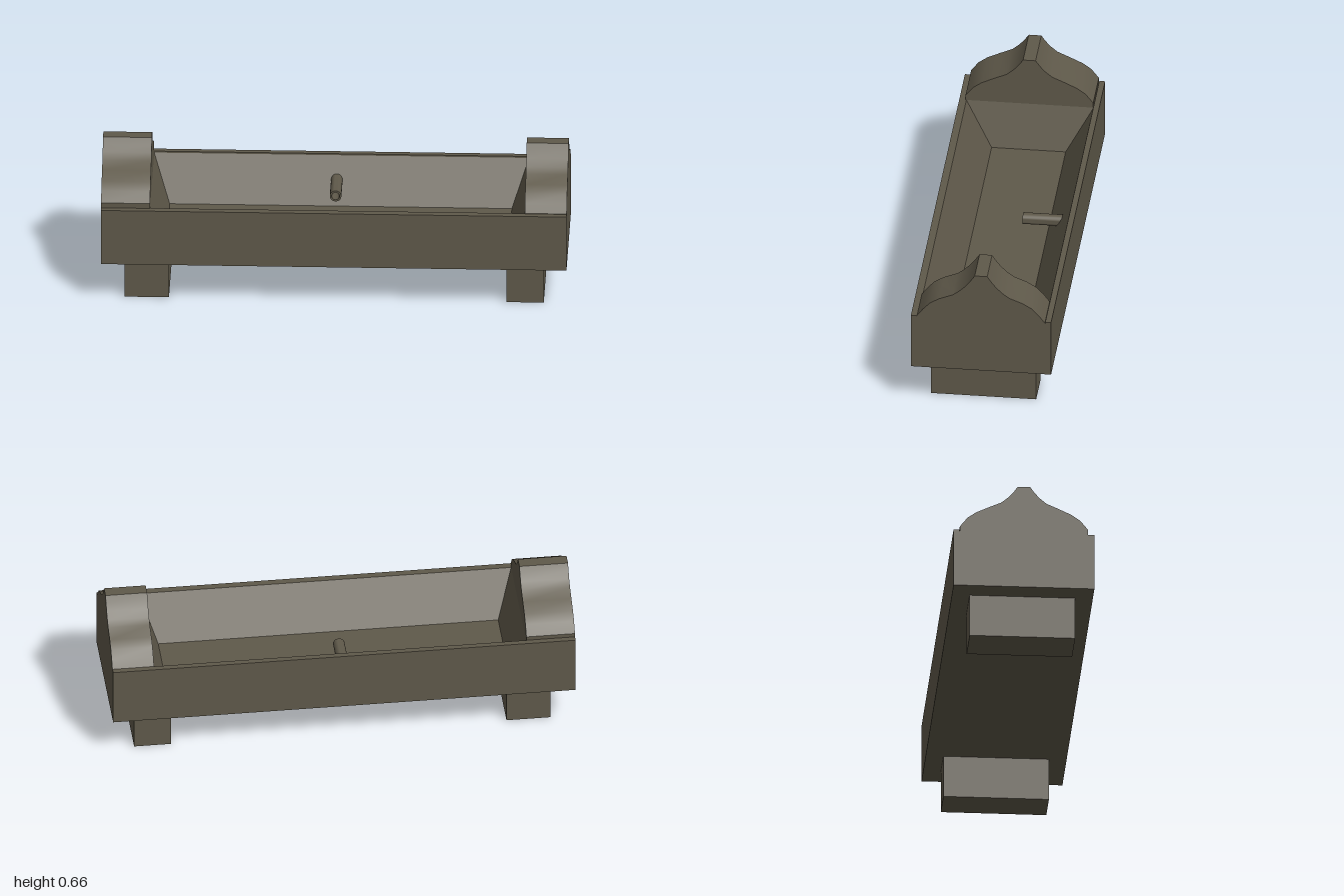
import * as THREE from 'three';
import { toCreasedNormals } from 'three/addons/utils/BufferGeometryUtils.js';

export function createModel() {
  const model = new THREE.Group();
  const stone = new THREE.MeshStandardMaterial({ color: 0x5f594a });
  stone.name = 'olive stone';

  function add(name, geometry) {
    const mesh = new THREE.Mesh(geometry, stone);
    mesh.name = name;
    model.add(mesh);
    return mesh;
  }

  // Box given by its limits
  function block(name, x0, x1, y0, y1, z0, z1) {
    add(name, new THREE.BoxGeometry(x1 - x0, y1 - y0, z1 - z0))
      .position.set((x0 + x1) / 2, (y0 + y1) / 2, (z0 + z1) / 2);
  }

  // Trough: rectangular rings joined from the underside, over the rim, to the basin floor
  const ring = (x0, x1, z0, z1, y) => [[x0, y, z1], [x1, y, z1], [x1, y, z0], [x0, y, z0]];
  const rings = [
    ring(-1, 1, -0.303, 0.303, 0.19),
    ring(-1, 1, -0.303, 0.303, 0.445),
    ring(-0.79, 0.82, -0.278, 0.272, 0.445),
    ring(-0.72, 0.75, -0.165, 0.155, 0.257),
  ];
  const points = [];
  const quad = (a, b, c, d) => points.push(...a, ...b, ...c, ...a, ...c, ...d);
  for (let r = 0; r < rings.length - 1; r++) {
    for (let i = 0; i < 4; i++) {
      const j = (i + 1) % 4;
      quad(rings[r][i], rings[r][j], rings[r + 1][j], rings[r + 1][i]);
    }
  }
  quad(...rings[3]);
  quad(...[...rings[0]].reverse());
  const trough = new THREE.BufferGeometry();
  trough.setAttribute('position', new THREE.Float32BufferAttribute(points, 3));
  trough.computeVertexNormals();
  add('trough', trough);

  // Slightly raised back rim
  block('backRim', -1, 1, 0.44, 0.452, -0.303, -0.278);

  // Feet
  block('rightFoot', -0.9, -0.71, 0, 0.19, -0.227, 0.227);
  block('leftFoot', 0.74, 0.9, 0, 0.19, -0.227, 0.227);

  // Ogee-shaped end crests: half profile, mirrored and extruded along x
  function crest(name, x0, x1, half) {
    const left = half.map(([z, y]) => [-z, y]).reverse();
    const shape = new THREE.Shape([...half, ...left].map(([z, y]) => new THREE.Vector2(z, y)));
    const geometry = new THREE.ExtrudeGeometry(shape, { depth: x1 - x0, bevelEnabled: false });
    geometry.rotateY(Math.PI / 2);
    add(name, toCreasedNormals(geometry, 0.5)).position.x = x0;
  }
  crest('rightCrest', -1, -0.79, [
    [0.276, 0.44], [0.276, 0.468], [0.243, 0.51], [0.205, 0.537], [0.15, 0.563],
    [0.098, 0.586], [0.068, 0.611], [0.045, 0.637], [0.027, 0.663],
  ]);
  crest('leftCrest', 0.82, 1, [
    [0.276, 0.44], [0.276, 0.447], [0.25, 0.482], [0.22, 0.514], [0.18, 0.538], [0.122, 0.561],
    [0.095, 0.581], [0.066, 0.609], [0.045, 0.636], [0.027, 0.663],
  ]);

  // Hollow water spout coming out of the back wall
  const spout = new THREE.Shape().absarc(0, 0, 0.025, 0, Math.PI * 2, false);
  spout.holes.push(new THREE.Path().absarc(0, 0, 0.017, 0, Math.PI * 2, true));
  add('spout', toCreasedNormals(
    new THREE.ExtrudeGeometry(spout, { depth: 0.17, bevelEnabled: false, curveSegments: 10 }), 0.7,
  )).position.set(-0.004, 0.352, -0.235);

  return model;
}
